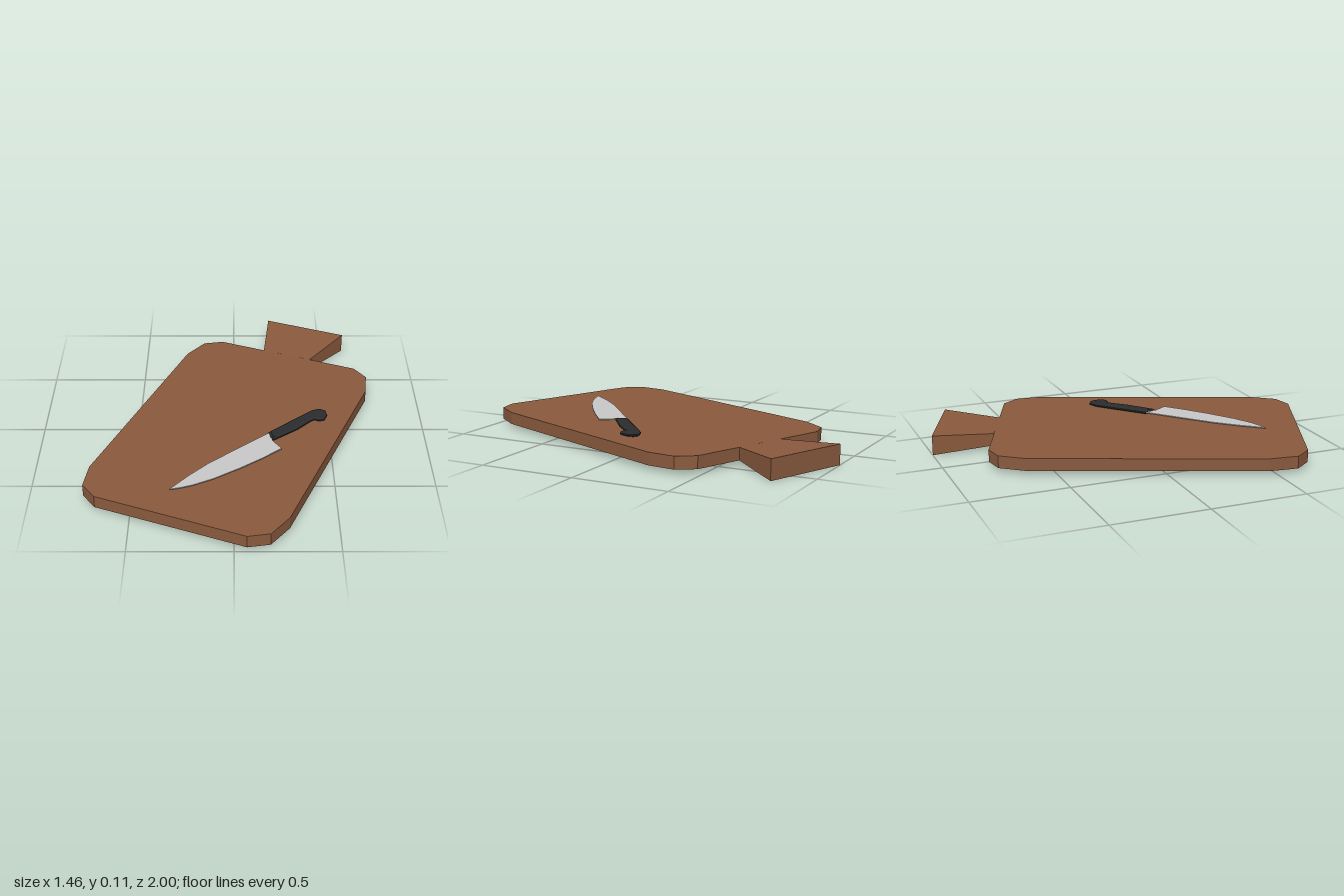
import * as THREE from 'three';

// Upright slab from an [x, z] outline, between heights y0 and y1, with optional chamfer
function slab(points, y0, y1, bevel = 0, rise = 0) {
  const shape = new THREE.Shape(points.map(([x, z]) => new THREE.Vector2(x, z)));
  const geo = new THREE.ExtrudeGeometry(shape, {
    depth: y1 - y0 - 2 * rise,
    bevelEnabled: bevel > 0,
    bevelSize: bevel,
    bevelOffset: -bevel,
    bevelThickness: rise,
    bevelSegments: 1,
  });
  geo.rotateX(Math.PI / 2);
  geo.translate(0, y1 - rise, 0);
  return geo;
}

export function createModel() {
  const model = new THREE.Group();
  model.name = 'cuttingBoardWithKnife';
  const wood = new THREE.MeshStandardMaterial({ color: 0x8a5a3e, flatShading: true });
  wood.name = 'brownWood';
  const steel = new THREE.MeshStandardMaterial({ color: 0xc8c8c8, flatShading: true });
  steel.name = 'paleSteel';
  const black = new THREE.MeshStandardMaterial({ color: 0x2b2c2d, flatShading: true });
  black.name = 'blackGrip';

  const add = (name, geo, material, parent = model) => {
    const mesh = new THREE.Mesh(geo, material);
    mesh.name = name;
    parent.add(mesh);
  };

  // Board with clipped corners
  add('board', slab([
    [-0.17, -0.76], [-0.065, -0.778], [0.67, -0.478], [0.73, -0.387], [0.715, -0.243],
    [0.262, 0.858], [0.17, 0.977], [0.06, 0.996], [-0.67, 0.696], [-0.734, 0.605],
    [-0.715, 0.455], [-0.263, -0.642],
  ], 0.023, 0.087), wood);

  // Board handle: a box flared outwards and thickened towards its free end
  const flare = new THREE.BoxGeometry(2, 2, 2).toNonIndexed();
  const p = flare.attributes.position;
  for (let i = 0; i < p.count; i++) {
    const right = p.getX(i) > 0, up = p.getY(i) > 0, inner = p.getZ(i) > 0;
    const [x, z] = inner
      ? (right ? [0.428, -0.577] : [0.173, -0.681])
      : (right ? [0.63, -0.826] : [0.205, -1.0]);
    p.setXYZ(i, x, inner ? (up ? 0.087 : 0.023) : (up ? 0.104 : 0), z);
  }
  flare.computeVertexNormals();
  add('boardHandle', flare, wood);

  // Knife lying on the board
  const knife = new THREE.Group();
  knife.name = 'knife';
  model.add(knife);
  add('blade', slab([
    [-0.31, 0.655], [-0.22, 0.545], [-0.127, 0.445], [0.02, 0.315], [0.178, 0.178],
    [0.195, 0.245], [0.24, 0.315], [0.14, 0.4], [0.03, 0.483], [-0.1, 0.57],
    [-0.2, 0.622], [-0.26, 0.643],
  ], 0.095, 0.1), steel, knife);
  add('knifeHandle', slab([
    [0.176, 0.176], [0.295, 0.07], [0.41, -0.03], [0.45, -0.047], [0.482, -0.03],
    [0.488, 0.01], [0.472, 0.053], [0.445, 0.062], [0.42, 0.05], [0.4, 0.065],
    [0.33, 0.138], [0.195, 0.243],
  ], 0.087, 0.108, 0.012, 0.007), black, knife);

  return model;
}
